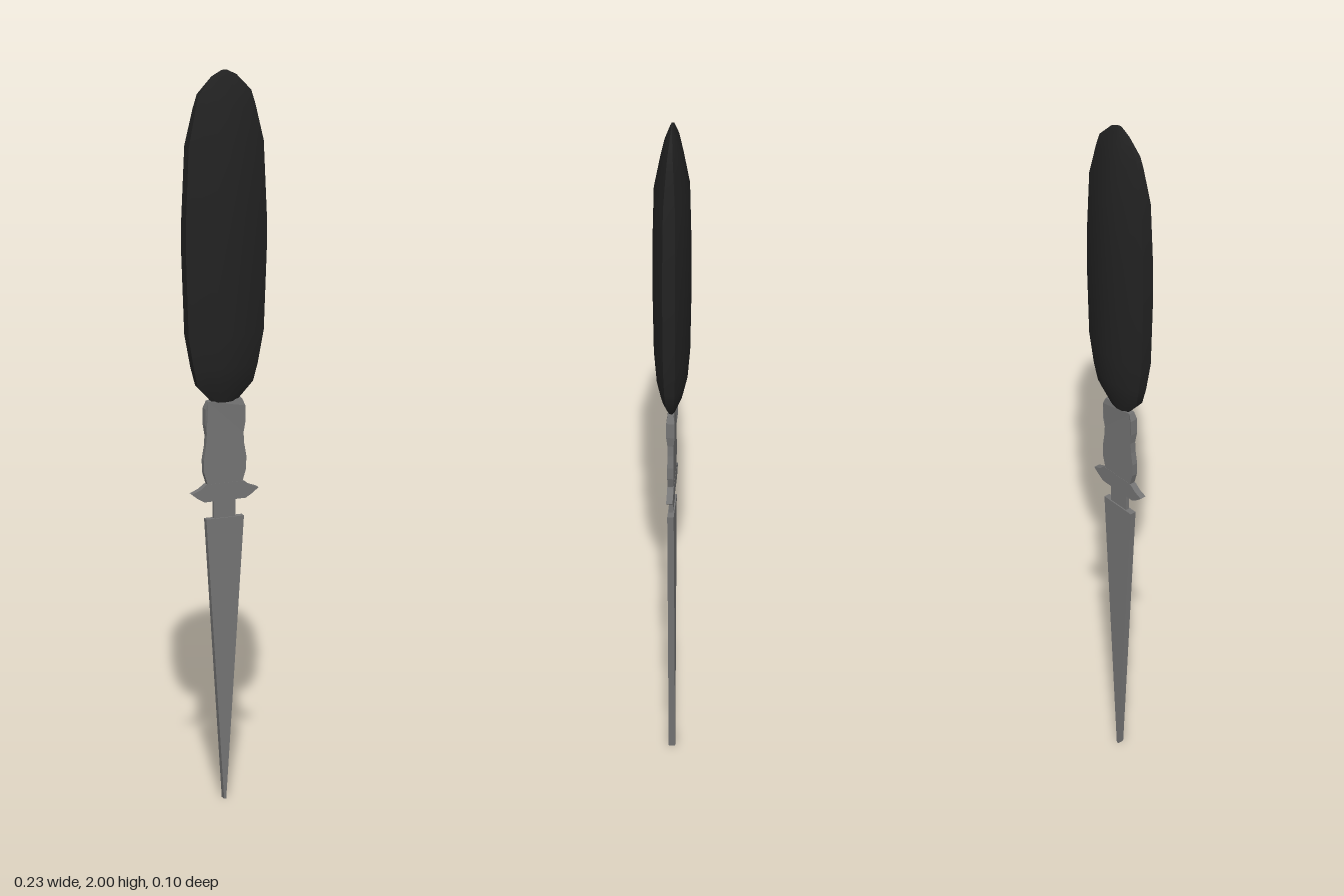
import * as THREE from 'three';
import { toCreasedNormals } from 'three/addons/utils/BufferGeometryUtils.js';

const steel = new THREE.MeshStandardMaterial({ name: 'grey steel', color: 0x747474 });
const black = new THREE.MeshStandardMaterial({ name: 'black grip', color: 0x222222 });

// Lens-shaped handle section with blunt edges, lofted through [y, halfWidth, halfDepth]
function handleGeometry() {
  const half = [[1, 0.33], [0.7, 0.66], [0.32, 0.92], [0, 1], [-0.32, 0.92], [-0.7, 0.66], [-1, 0.33]];
  const section = [...half, ...half.map(([x, z]) => [-x, -z])];
  const rings = [
    [1.09, 0.034, 0.012], [1.14, 0.078, 0.03], [1.19, 0.09, 0.041], [1.28, 0.106, 0.048],
    [1.5, 0.114, 0.052], [1.6, 0.114, 0.052], [1.8, 0.106, 0.048], [1.9, 0.085, 0.031],
    [1.94, 0.074, 0.023], [1.985, 0.035, 0.009], [2, 0.008, 0.004],
  ];
  const n = section.length, pos = [], idx = [];
  for (const [y, w, d] of rings) for (const [x, z] of section) pos.push(x * w, y, z * d);
  for (let i = 0; i < rings.length - 1; i++) {
    for (let j = 0; j < n; j++) {
      const a = i * n + j, b = i * n + (j + 1) % n;
      idx.push(a, a + n, b, b, a + n, b + n);
    }
  }
  // End caps
  const top = (rings.length - 1) * n;
  for (let j = 1; j < n - 1; j++) {
    idx.push(0, j, j + 1);
    idx.push(top, top + j + 1, top + j);
  }
  const g = new THREE.BufferGeometry();
  g.setAttribute('position', new THREE.Float32BufferAttribute(pos, 3));
  g.setIndex(idx);
  return toCreasedNormals(g, 0.6);
}

// Flat plate from the right half of an outline, mirrored across x = 0
function plateGeometry(right, thickness) {
  const left = right.filter(([x]) => x > 0).map(([x, y]) => [-x, y]).reverse();
  const shape = new THREE.Shape([...right, ...left].map(([x, y]) => new THREE.Vector2(x, y)));
  const g = new THREE.ExtrudeGeometry(shape, { depth: thickness, bevelEnabled: false });
  return g.translate(0, 0, -thickness / 2);
}

export function createModel() {
  const group = new THREE.Group();
  const add = (name, geometry, material) => {
    const mesh = new THREE.Mesh(geometry, material);
    mesh.name = name;
    group.add(mesh);
  };

  add('handle', handleGeometry(), black);

  // Waisted collar, a little thicker where it enters the handle
  const collar = plateGeometry([
    [0.045, 0.85], [0.05, 0.87], [0.059, 0.9], [0.06, 0.935], [0.054, 0.97],
    [0.052, 1.0], [0.056, 1.03], [0.056, 1.075], [0.048, 1.095],
  ], 0.016);
  const p = collar.attributes.position;
  for (let i = 0; i < p.count; i++) {
    if (p.getY(i) > 1.01 && p.getY(i) < 1.08) p.setZ(i, p.getZ(i) * 1.4);
  }
  collar.computeVertexNormals();
  add('collar', collar, steel);

  // Swept guard with pointed wings
  add('guard', plateGeometry([
    [0.058, 0.82], [0.078, 0.832], [0.094, 0.845], [0.07, 0.854], [0.054, 0.867], [0.045, 0.868],
  ], 0.017), steel);

  add('neck', new THREE.BoxGeometry(0.06, 0.07, 0.01).translate(0, 0.795, 0), steel);
  add('blade', plateGeometry([[0.003, 0], [0.053, 0.772]], 0.017), steel);
  return group;
}
